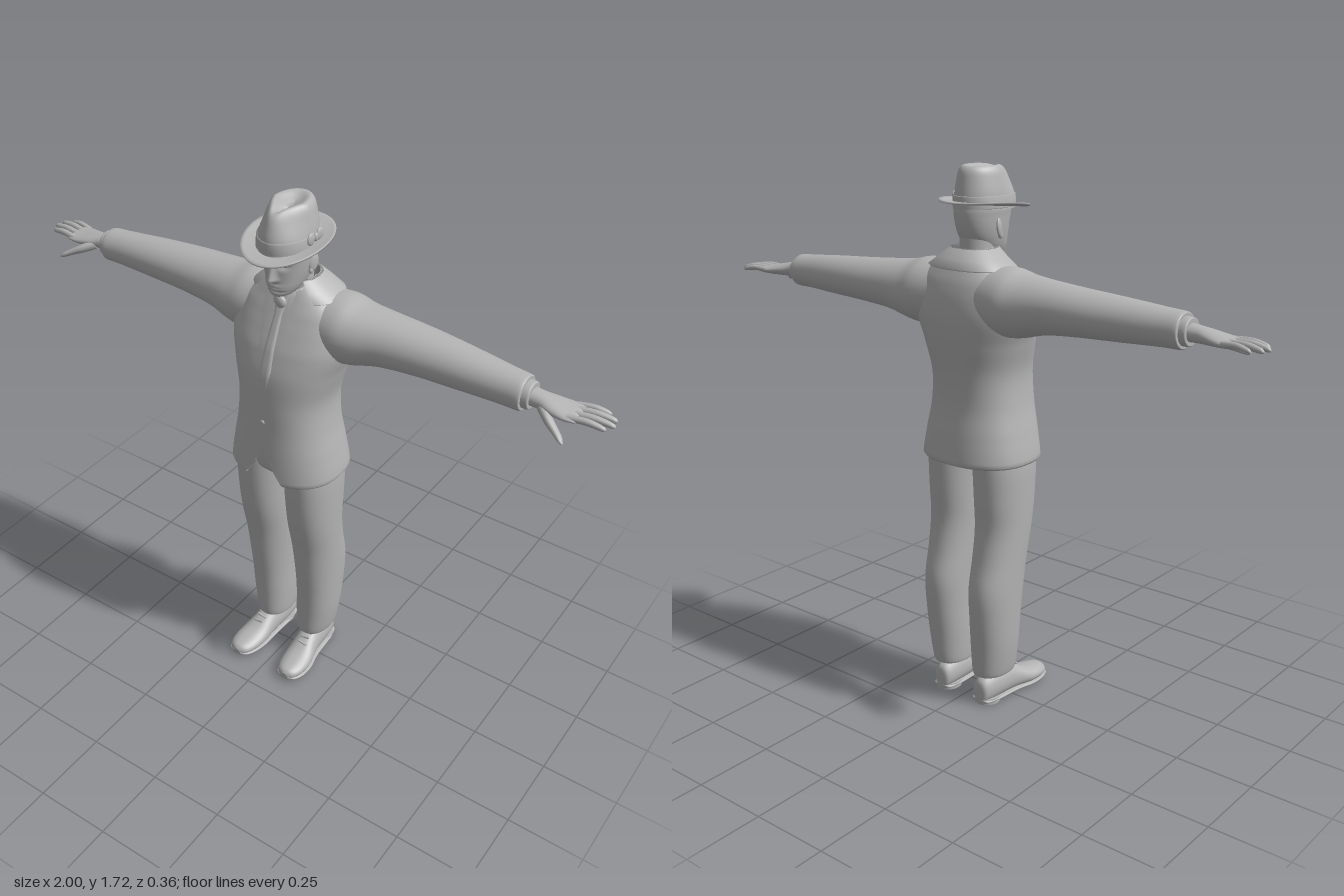
import * as THREE from 'three';

const V = (x, y, z) => new THREE.Vector3(x, y, z);
const { sin, cos, abs, sign, pow, exp, PI, max, min } = Math;
const lerp = THREE.MathUtils.lerp;
const pw = (v, p) => sign(v) * pow(abs(v), p);
const bump = (v, w) => exp(-(v * v) / (w * w));

// Catmull-Rom value of a key table at fractional index t
function keyAt(keys, t) {
  const i = min(Math.floor(t), keys.length - 2), f = t - i;
  const k = (j) => keys[min(max(j, 0), keys.length - 1)];
  return keys[i].map((_, c) => {
    const a = k(i - 1)[c], b = k(i)[c], d = k(i + 1)[c], e = k(i + 2)[c];
    return b + 0.5 * f * (d - a + f * (2 * a - 5 * b + 4 * d - e + f * (3 * (b - d) + e - a)));
  });
}
const smooth = (keys, sub = 4) => Array.from({ length: (keys.length - 1) * sub + 1 }, (_, i) => keyAt(keys, i / sub));
// Key table looked up by its first column
function keyBy(keys, v) {
  let i = 0;
  while (i < keys.length - 2 && v > keys[i + 1][0]) i++;
  return keyAt(keys, i + THREE.MathUtils.clamp((v - keys[i][0]) / (keys[i + 1][0] - keys[i][0]), 0, 1));
}

// Skin rows of points; optional flat caps
function loft(rows, { closed = true, caps = true } = {}) {
  const n = rows[0].length, pos = [], idx = [];
  rows.forEach((r) => r.forEach((p) => pos.push(p.x, p.y, p.z)));
  for (let i = 0; i < rows.length - 1; i++)
    for (let j = 0; j < (closed ? n : n - 1); j++) {
      const a = i * n + j, b = i * n + (j + 1) % n;
      idx.push(a, b, a + n, b, b + n, a + n);
    }
  if (closed && caps) [rows[0], rows[rows.length - 1]].forEach((r, end) => {
    const base = pos.length / 3, c = V(0, 0, 0);
    r.forEach((p) => { c.addScaledVector(p, 1 / n); pos.push(p.x, p.y, p.z); });
    pos.push(c.x, c.y, c.z);
    for (let j = 0; j < n; j++) {
      const a = base + j, b = base + (j + 1) % n;
      idx.push(...(end ? [a, b, base + n] : [b, a, base + n]));
    }
  });
  const g = new THREE.BufferGeometry();
  g.setAttribute('position', new THREE.Float32BufferAttribute(pos, 3));
  g.setIndex(idx);
  g.computeVertexNormals();
  return g;
}
const around = (n, f) => Array.from({ length: n }, (_, j) => f((j / n) * 2 * PI));
// Rows along y: [y, cx, cz, rx, rz]; along x: [x, cy, cz, ry, rz]
const alongY = (keys, p = 1, n = 32) => loft(smooth(keys).map(([y, cx, cz, rx, rz]) =>
  around(n, (a) => V(cx + rx * pw(sin(a), p), y, cz + rz * pw(cos(a), p)))));
const alongX = (keys, n = 32) => loft(smooth(keys).map(([x, cy, cz, ry, rz]) =>
  around(n, (a) => V(x, cy + ry * cos(a), cz + rz * sin(a)))));

// Jacket body profile: [y, half width, front z, back z]
const BODY = [[0.82, 0.188, 0.148, -0.17], [0.9, 0.175, 0.146, -0.162], [1.0, 0.156, 0.142, -0.15], [1.1, 0.15, 0.14, -0.155],
  [1.2, 0.172, 0.132, -0.172], [1.28, 0.195, 0.108, -0.18], [1.34, 0.19, 0.08, -0.175], [1.39, 0.17, 0.055, -0.162],
  [1.43, 0.125, 0.035, -0.143], [1.455, 0.09, 0.025, -0.125], [1.475, 0.068, 0.018, -0.108]];
const P = 0.85;
function body(y, a, off = 0) {
  const [, rx, zf, zb] = keyBy(BODY, y);
  return V((rx + off) * pw(sin(a), P), y, (zf + zb) / 2 + ((zf - zb) / 2 + off) * pw(cos(a), P));
}
const angleAt = (y, x) => sign(x) * Math.asin(pow(min(1, abs(x) / keyBy(BODY, y)[1]), 1 / P));
// Half width of the jacket's front opening
const gap = (y) => y > 1.11 ? 0.056 * min(1, (y - 1.11) / 0.28) : y < 0.98 ? 0.07 * pow((0.98 - y) / 0.16, 1.6) : 0.001;
const span = (y0, y1, n) => Array.from({ length: n + 1 }, (_, i) => lerp(y0, y1, i / n));
// Raised strip lying on the body between two x limits
const strip = (ys, lo, hi, inner, outer) => loft(ys.map((y) =>
  [0, 0.04, 0.35, 0.65, 0.96, 1].map((u) => body(y, angleAt(y, lerp(lo(y), hi(y), u)), u % 1 ? outer : inner))), { closed: false });

export function createModel() {
  const model = new THREE.Group();
  model.name = 'suitedMan';
  const grey = new THREE.MeshStandardMaterial({ color: 0xb4b4b4, side: THREE.DoubleSide });
  grey.name = 'plain grey';
  const add = (name, geo, parent = model) => {
    const m = new THREE.Mesh(geo, grey);
    m.name = name;
    parent.add(m);
    return m;
  };
  const blob = (name, x, y, z, rx, ry, rz, parent) => {
    const m = add(name, new THREE.SphereGeometry(1, 20, 14), parent);
    m.position.set(x, y, z);
    m.scale.set(rx, ry, rz);
    return m;
  };

  // Jacket shell with turned-in hem, open at the front
  const jacketRow = (y, off) => {
    const a0 = angleAt(y, gap(y));
    return Array.from({ length: 65 }, (_, j) => body(y, lerp(a0, 2 * PI - a0, j / 64), off));
  };
  add('jacket', loft([jacketRow(0.87, -0.016), jacketRow(0.824, -0.012), jacketRow(0.817, -0.005),
    ...span(0.824, 1.475, 60).map((y) => jacketRow(y, 0))], { closed: false }));
  add('shirt', strip(span(1.02, 1.45, 24), () => -0.075, () => 0.075, -0.014, -0.008));
  const tieWidth = (y) => y > 1.385 ? 0.014 + (y - 1.385) * 0.2 : 0.012 + (1.385 - y) * 0.04;
  add('tie', strip(span(1.04, 1.435, 40), (y) => -tieWidth(y), tieWidth, -0.01, -0.001));
  blob('tieKnot', 0, 1.412, 0.044, 0.019, 0.021, 0.012);
  blob('jacketButton', 0, 1.04, 0.142, 0.008, 0.008, 0.004);

  // Jacket collar around the back of the neck
  add('jacketCollar', loft([[1.42, 0.002], [1.425, 0.012], [1.45, 0.011], [1.478, 0.006], [1.48, -0.004], [1.45, -0.008]]
    .map(([y, o]) => Array.from({ length: 49 }, (_, j) => body(y, lerp(0.75, 2 * PI - 0.75, j / 48), o))), { closed: false }));
  // Shirt collar and neck
  add('shirtCollar', loft([[1.42, 0.07, 0.046], [1.445, 0.064, 0.036], [1.468, 0.06, 0.026], [1.464, 0.053, 0.02]].map(([y, rx, zf]) =>
    around(40, (a) => V(rx * sin(a), y - 0.022 * max(0, cos(a)), lerp(-0.092, zf, 0.5 + 0.5 * cos(a))))), { caps: false }));
  add('neck', alongY([[1.38, 0, -0.035, 0.055, 0.056], [1.45, 0, -0.032, 0.053, 0.054], [1.54, 0, -0.028, 0.054, 0.06]]));

  // Head with sculpted nose, eye sockets, lips and chin
  const HEAD = [[1.442, 0.02, 0.068, 0.01], [1.452, 0.038, 0.077, -0.025], [1.475, 0.053, 0.08, -0.06], [1.505, 0.063, 0.081, -0.085],
    [1.535, 0.069, 0.084, -0.098], [1.57, 0.073, 0.09, -0.105], [1.6, 0.075, 0.092, -0.104], [1.64, 0.066, 0.08, -0.09]];
  add('head', loft(smooth(HEAD, 7).map(([y, rx, zf, zb]) => around(112, (a) => {
    const x = rx * pw(sin(a), 0.94), front = cos(a) > 0 ? 1 : 0;
    const nose = y > 1.503 ? max(0, (1.562 - y) / 0.059) : max(0, (y - 1.491) / 0.012);
    const dz = 0.025 * nose * bump(x, 0.007 + 0.006 * nose) - 0.011 * bump(abs(x) - 0.03, 0.016) * bump(y - 1.551, 0.011)
      + 0.005 * bump(x, 0.024) * (bump(y - 1.483, 0.004) + bump(y - 1.472, 0.004)) - 0.004 * bump(y - 1.464, 0.004) * bump(x, 0.03);
    return V(x, y, (zf + zb) / 2 + ((zf - zb) / 2) * pw(cos(a), 0.94) + front * dz);
  }))));
  for (const s of [1, -1]) {
    blob('eye', s * 0.029, 1.55, 0.063, 0.013, 0.007, 0.009);
    blob('eyebrow', s * 0.03, 1.565, 0.074, 0.018, 0.004, 0.009).rotation.y = s * 0.35;
    const ear = blob('ear', s * 0.072, 1.538, -0.016, 0.007, 0.029, 0.017);
    ear.rotation.set(-0.15, s * -0.35, 0);
    blob('earLobe', s * 0.07, 1.515, -0.008, 0.006, 0.011, 0.009);
  }

  // Hat: curved brim, pinched teardrop crown, band and bow
  const hat = new THREE.Group();
  hat.name = 'hat';
  model.add(hat);
  add('hatBrim', loft([[0.6, 0.003], [0.8, 0.003], [0.94, 0.003], [1, 0.002], [1, -0.003], [0.94, -0.004], [0.8, -0.003], [0.55, -0.003]].map(([u, t]) =>
    around(64, (a) => V(0.125 * u * sin(a), 1.6 + t - 0.017 * u * cos(a) + 0.012 * pow(u, 4) * (0.5 - 0.5 * cos(2 * a)), 0.004 + 0.154 * u * cos(a)))), { caps: false }), hat);
  const crownRow = ([y, rx, zf, zb], off = 0) => around(64, (a) => {
    const h = max(0, (y - 1.625) / 0.09), f = max(0, cos(a));
    const pinch = 1 - 0.4 * h * pow(f, 0.8) - 0.06 * h * bump(a > PI ? 2 * PI - a - 0.75 : a - 0.75, 0.35);
    return V((rx + off) * sin(a) * pinch, y - 0.012 * h * pow(f, 3), (zf + zb) / 2 + ((zf - zb) / 2 + off) * cos(a));
  });
  add('hatCrown', loft(smooth([[1.59, 0.081, 0.112, -0.107], [1.635, 0.078, 0.11, -0.104], [1.675, 0.07, 0.1, -0.098], [1.702, 0.063, 0.09, -0.092],
    [1.716, 0.053, 0.078, -0.081], [1.717, 0.042, 0.064, -0.068], [1.708, 0.025, 0.045, -0.048], [1.7, 0.008, 0.02, -0.025]]).map((k) => crownRow(k))), hat);
  add('hatBand', loft([[1.595, 0.081, 0], [1.597, 0.081, 0.003], [1.63, 0.0785, 0.003], [1.632, 0.0785, -0.001]].map(([y, rx, o]) =>
    crownRow([y, rx, 0.111, -0.106], o)), { caps: false }), hat);
  blob('hatBowKnot', 0.084, 1.623, -0.01, 0.006, 0.013, 0.009, hat);
  for (const s of [1, -1]) blob('hatBowLoop', 0.082, 1.624, -0.01 + s * 0.022, 0.006, 0.019, 0.017, hat);

  // Hips filling the jacket above the trouser legs
  add('trouserSeat', alongY([[0.8, 0, -0.012, 0.1, 0.085], [0.83, 0, -0.012, 0.158, 0.112], [0.9, 0, -0.01, 0.156, 0.118], [1.0, 0, -0.006, 0.142, 0.115]], 0.9));

  for (const s of [1, -1]) {
    const side = new THREE.Group();
    side.name = s > 0 ? 'leftLimbs' : 'rightLimbs';
    side.scale.x = s;
    model.add(side);

    // Arm: sleeve, shirt cuff, palm, fingers and thumb
    add('sleeve', alongX([[0.08, 1.335, -0.062, 0.095, 0.1], [0.16, 1.331, -0.062, 0.104, 0.11], [0.22, 1.328, -0.062, 0.094, 0.103], [0.3, 1.334, -0.067, 0.08, 0.09],
      [0.42, 1.335, -0.07, 0.07, 0.081], [0.55, 1.333, -0.067, 0.063, 0.07], [0.68, 1.33, -0.062, 0.055, 0.058], [0.735, 1.328, -0.06, 0.053, 0.055], [0.744, 1.328, -0.06, 0.049, 0.051]], 40), side);
    add('shirtCuff', alongX([[0.72, 1.328, -0.06, 0.041, 0.043], [0.758, 1.327, -0.06, 0.041, 0.042], [0.764, 1.327, -0.06, 0.037, 0.038]]), side);
    add('palm', alongX([[0.74, 1.327, -0.061, 0.028, 0.032], [0.785, 1.325, -0.06, 0.024, 0.031], [0.82, 1.322, -0.06, 0.021, 0.04],
      [0.865, 1.318, -0.063, 0.016, 0.048], [0.895, 1.317, -0.066, 0.012, 0.047], [0.905, 1.317, -0.066, 0.006, 0.042]]), side);
    [[-0.103, 0.968, -0.118, 0.009], [-0.079, 0.994, -0.096, 0.0105], [-0.055, 1, -0.069, 0.0105], [-0.031, 0.984, -0.042, 0.01]].forEach(([z0, tip, z1, r]) =>
      add('finger', alongX([[0, 1], [0.5, 1], [0.85, 0.85], [0.96, 0.6], [1, 0.15]].map(([t, k]) =>
        [lerp(0.875, tip, t), 1.319 + 0.006 * sin(PI * t) - 0.005 * t, lerp(z0, z1, t), r * k, r * k]), 12), side));
    add('thumb', alongX([[0.79, 1.318, -0.045, 0.015, 0.016], [0.825, 1.306, -0.019, 0.016, 0.019], [0.86, 1.291, 0.003, 0.012, 0.015],
      [0.885, 1.279, 0.018, 0.009, 0.012], [0.896, 1.273, 0.025, 0.003, 0.004]], 16), side);

    // Trouser leg
    add('trouserLeg', alongY([[0.1, 0.082, -0.05, 0.05, 0.07], [0.108, 0.083, -0.05, 0.058, 0.081], [0.2, 0.088, -0.053, 0.067, 0.087], [0.3, 0.091, -0.055, 0.07, 0.095],
      [0.4, 0.092, -0.051, 0.073, 0.103], [0.5, 0.092, -0.033, 0.076, 0.098], [0.6, 0.092, -0.015, 0.08, 0.1], [0.7, 0.092, -0.011, 0.083, 0.109], [0.82, 0.09, -0.01, 0.085, 0.115], [0.92, 0.08, -0.01, 0.078, 0.112]], 0.92, 40), side);

    // Shoe: upper, sole, heel and laces; keys are [z, cx, half width, top]
    const SHOE = [[-0.127, 0.082, 0.012, 0.06], [-0.118, 0.082, 0.03, 0.085], [-0.07, 0.084, 0.04, 0.108], [-0.01, 0.087, 0.042, 0.108], [0.03, 0.09, 0.044, 0.092],
      [0.08, 0.096, 0.05, 0.066], [0.13, 0.1, 0.047, 0.052], [0.165, 0.101, 0.033, 0.042], [0.178, 0.101, 0.012, 0.03]];
    const shoePart = (low, top, grow) => loft(smooth(SHOE).map(([z, cx, w, h]) => around(32, (a) => {
      const lift = max(0, z - 0.09) * 0.06, t = top ?? h, k = top ? 1 : 1 - 0.3 * max(0, cos(a));
      return V(cx + (w + grow) * k * pw(sin(a), 0.75), lift + lerp(low, t, 0.5 + 0.5 * pw(cos(a), 0.75)), z);
    })));
    add('shoeUpper', shoePart(0.008, null, 0), side);
    add('shoeSole', shoePart(0.006, 0.02, 0.004), side);
    const heel = add('shoeHeel', new THREE.CylinderGeometry(0.041, 0.04, 0.02, 28), side);
    heel.position.set(0.083, 0.01, -0.082);
    heel.scale.z = 1.1;
    [0, 1, 2].forEach((i) => {
      const lace = add('shoeLace', new THREE.CapsuleGeometry(0.004, 0.03, 4, 8), side);
      lace.position.set(0.09 + i * 0.002, 0.1 - i * 0.011, 0.018 + i * 0.019);
      lace.rotation.z = PI / 2 + (i % 2 ? 0.2 : -0.2);
    });
  }
  return model;
}
